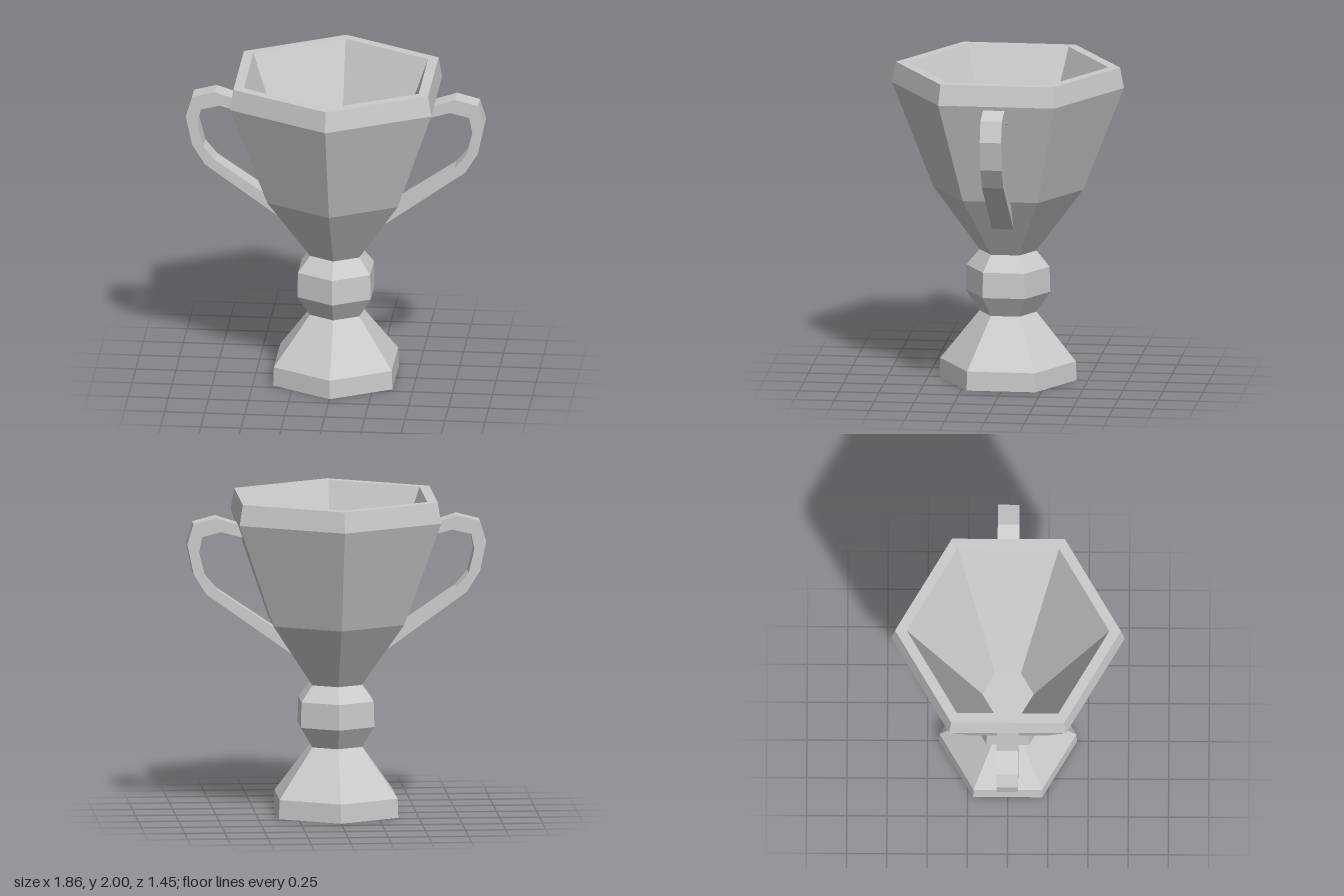
import * as THREE from 'three';

const material = new THREE.MeshStandardMaterial({ color: 0xcccccc, flatShading: true });
const points = (list) => list.map(([x, y]) => new THREE.Vector2(x, y));

// Six-sided lathe with corners on the z axis
function hexLathe(name, profile) {
  const mesh = new THREE.Mesh(new THREE.LatheGeometry(points(profile), 6), material);
  mesh.name = name;
  return mesh;
}

// Flat bent strap, its ends sunk into the bowl wall
function makeHandle(name) {
  const outer = [[0.58, 1.82], [0.635, 1.837], [0.75, 1.875], [0.893, 1.838], [0.932, 1.71],
    [0.893, 1.525], [0.812, 1.395], [0.26, 1.0]];
  const inner = [[0.35, 1.155], [0.746, 1.423], [0.822, 1.513], [0.858, 1.66],
    [0.838, 1.758], [0.72, 1.787], [0.56, 1.743]];
  const width = 0.134;
  const geometry = new THREE.ExtrudeGeometry(new THREE.Shape(points([...outer, ...inner])),
    { depth: width, bevelEnabled: false });
  geometry.translate(0, 0, -width / 2);
  const mesh = new THREE.Mesh(geometry, material);
  mesh.name = name;
  return mesh;
}

export function createModel() {
  const group = new THREE.Group();
  group.name = 'trophyCup';

  // Foot, knop and hollow bowl share their neck rings
  group.add(hexLathe('foot', [[0, 0], [0.43, 0], [0.425, 0.12], [0.178, 0.43]]));
  group.add(hexLathe('stemKnop', [[0.178, 0.43], [0.265, 0.56], [0.26, 0.72], [0.178, 0.82]]));
  group.add(hexLathe('bowl', [[0.178, 0.82], [0.47, 1.215], [0.726, 1.87], [0.702, 2],
    [0.63, 2], [0.16, 0.85], [0, 0.85]]));

  // Handles on both sides
  const left = makeHandle('leftHandle');
  const right = makeHandle('rightHandle');
  right.rotation.y = Math.PI;
  group.add(left, right);
  return group;
}
